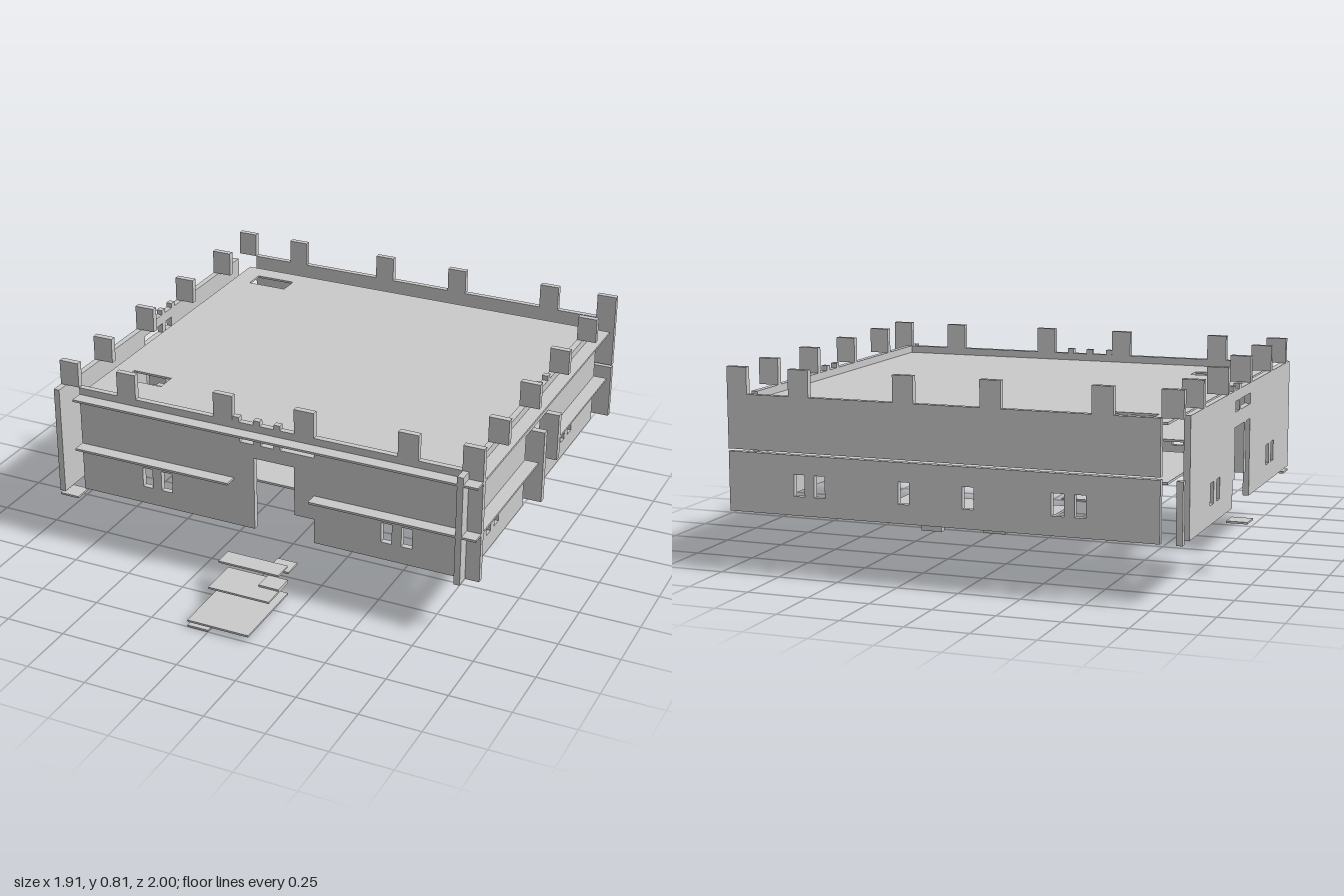
import * as THREE from 'three';

const mat = new THREE.MeshStandardMaterial({ color: 0xcccccc });
const T = 0.025; // wall thickness

export function createModel() {
  const root = new THREE.Group();

  // box given by its bounds on each axis
  function box(name, x0, x1, y0, y1, z0, z1) {
    const m = new THREE.Mesh(new THREE.BoxGeometry(x1 - x0, y1 - y0, z1 - z0), mat);
    m.position.set((x0 + x1) / 2, (y0 + y1) / 2, (z0 + z1) / 2);
    m.name = name;
    root.add(m);
  }

  // flat panel with rectangular holes [u0, u1, v0, v1] and an optional doorway [u0, u1, top]
  function panel(u0, u1, v0, v1, holes, door, depth = T) {
    const s = new THREE.Shape();
    s.moveTo(u0, v0);
    if (door) {
      s.lineTo(door[0], v0);
      s.lineTo(door[0], door[2]);
      s.lineTo(door[1], door[2]);
      s.lineTo(door[1], v0);
    }
    s.lineTo(u1, v0);
    s.lineTo(u1, v1);
    s.lineTo(u0, v1);
    s.closePath();
    for (const [a, b, c, d] of holes) {
      const h = new THREE.Path();
      h.moveTo(a, c);
      h.lineTo(a, d);
      h.lineTo(b, d);
      h.lineTo(b, c);
      h.closePath();
      s.holes.push(h);
    }
    return new THREE.ExtrudeGeometry(s, { depth, bevelEnabled: false });
  }

  function add(name, geometry, x, y, z) {
    const m = new THREE.Mesh(geometry, mat);
    m.position.set(x, y, z);
    m.name = name;
    root.add(m);
  }

  const windows = (list) => list.map(([a, b]) => [a, b, 0.325, 0.41]);
  const slots = (list) => list.map(([a, b]) => [a, b, 0.625, 0.668]);
  const xWindows = [[-0.505, -0.46], [-0.42, -0.37], [0.545, 0.59], [0.63, 0.675]];
  const zWindows = [[0.33, 0.372], [0.243, 0.29], [-0.54, -0.495], [-0.63, -0.582]];

  // front wall with doorway and slots over it
  add('frontWall', panel(-0.785, 0.953, 0.25, 0.71,
    [...windows(xWindows), ...slots([[-0.06, 0], [0.03, 0.088], [0.115, 0.26]])],
    [-0.09, 0.26, 0.565]), 0, 0, 0.568);

  // back wall: two storeys with a narrow gap between
  add('backWallLower', panel(-0.785, 0.953, 0.25, 0.485,
    windows([...xWindows, [0.195, 0.24], [-0.065, -0.02]])), 0, 0, -1);
  box('backWallUpper', -0.785, 0.953, 0.495, 0.71, -1, -1 + T);
  box('backCornerPost', -0.87, -0.845, 0.25, 0.485, -1, -1 + T);

  // side walls, door posts and side battlements
  for (const [side, x0, x1, postBottom] of [['left', 0.87, 0.953, 0.25], ['right', -0.87, -0.785, 0.36]]) {
    const g = panel(-0.912, 0.648, 0.25, 0.71,
      [...windows(zWindows), ...slots([[-0.19, -0.035], [-0.27, -0.215]])],
      [-0.303, -0.04, 0.565]);
    g.rotateY(-Math.PI / 2);
    add(side + 'Wall', g, x0 + T, 0, 0);
    box(side + 'DoorPost', x0, x1, postBottom, 0.565, -0.13, -0.1);
    box(side + 'DoorUpperPost', x0, x1, 0.36, 0.565, -0.303, -0.274);
    for (const z of [0.306, -0.038, -0.388, -0.738]) {
      box(side + 'Merlon', x0, x1, 0.71, 0.815, z, z + 0.026);
    }
    for (const z of [-0.215, -0.302]) box(side + 'SmallMerlon', x0, x0 + T, 0.71, 0.73, z, z + 0.027);
  }

  // front door posts
  box('frontDoorPost', -0.09, 0, 0.25, 0.565, 0.568, 0.593);
  box('frontDoorUpperPost', 0.175, 0.26, 0.355, 0.565, 0.568, 0.593);

  // front and back battlements
  for (const x of [-0.87, -0.608, -0.175, 0.175, 0.608, 0.869]) {
    box('frontMerlon', x, x + 0.084, 0.71, 0.815, 0.568, 0.593);
    box('backMerlon', x, x + 0.084, 0.71, 0.815, -1, -1 + T);
  }
  for (const x of [-0.09, 0, 0.088]) box('frontSmallMerlon', x, x + 0.027, 0.71, 0.73, 0.568, 0.593);

  // ledges running along the front and the left side
  box('frontUpperLedge', -0.785, 0.953, 0.671, 0.68, 0.593, 0.648);
  box('frontLowerLedge', -0.785, -0.09, 0.451, 0.46, 0.568, 0.648);
  box('frontLowerLedge', 0.26, 0.953, 0.451, 0.46, 0.568, 0.648);
  box('leftUpperLedge', 0.87, 0.953, 0.671, 0.68, -0.912, 0.593);
  box('leftLowerLedge', 0.87, 0.953, 0.451, 0.46, -0.04, 0.568);
  box('leftLowerLedge', 0.87, 0.953, 0.451, 0.46, -0.912, -0.303);

  // upper storey floor, open along the passage between the side doors
  box('upperFloorFront', -0.785, 0.87, 0.451, 0.46, -0.04, 0.568);
  box('upperFloorBack', -0.785, 0.87, 0.451, 0.46, -0.912, -0.303);

  // roof deck with two stair openings
  const roof = panel(-0.785, 0.87, -0.568, 0.912,
    [[-0.7, -0.525, -0.39, -0.302], [-0.7, -0.525, 0.74, 0.83]], null, 0.009);
  roof.rotateX(-Math.PI / 2);
  add('roof', roof, 0, 0.671, 0);

  // stair treads between the upper floor and the openings
  for (const z of [0.302, -0.83]) {
    for (let i = 0; i < 4; i++) {
      const x = i % 2 ? -0.7 : -0.612;
      const y = 0.626 - i * 0.042;
      box('stairTread', x, x + 0.087, y, y + 0.009, z, z + 0.088);
    }
  }

  // low platform with two hanging panels near the back
  box('backPlatform', -0.26, 0.43, 0.241, 0.25, -0.912, -0.475);
  box('hangingPanel', -0.09, 0, 0.178, 0.355, -0.738, -0.712);
  box('hangingPanel', 0.175, 0.26, 0.168, 0.355, -0.738, -0.712);

  // floating steps before the front door
  const steps = [
    [-0.09, 0.175, 0.028, 0.655, 1],
    [-0.09, 0.175, 0.08, 0.655, 0.825],
    [-0.09, 0.175, 0.153, 0.655, 0.738],
    [0.087, 0.175, 0.12, 0.568, 0.65],
    [0.087, 0.175, 0.088, 0.655, 0.738],
    [0, 0.087, 0.07, 0.655, 0.738],
    [-0.09, 0, 0.005, 0.915, 1],
  ];
  for (const [x0, x1, y, z0, z1] of steps) box('frontStep', x0, x1, y - 0.004, y + 0.004, z0, z1);

  // small plates at the right side
  box('cornerPlate', -0.87, -0.785, 0.23, 0.238, 0.568, 0.648);
  box('sideStep', -0.955, -0.87, 0.21, 0.218, -0.39, -0.307);

  return root;
}
